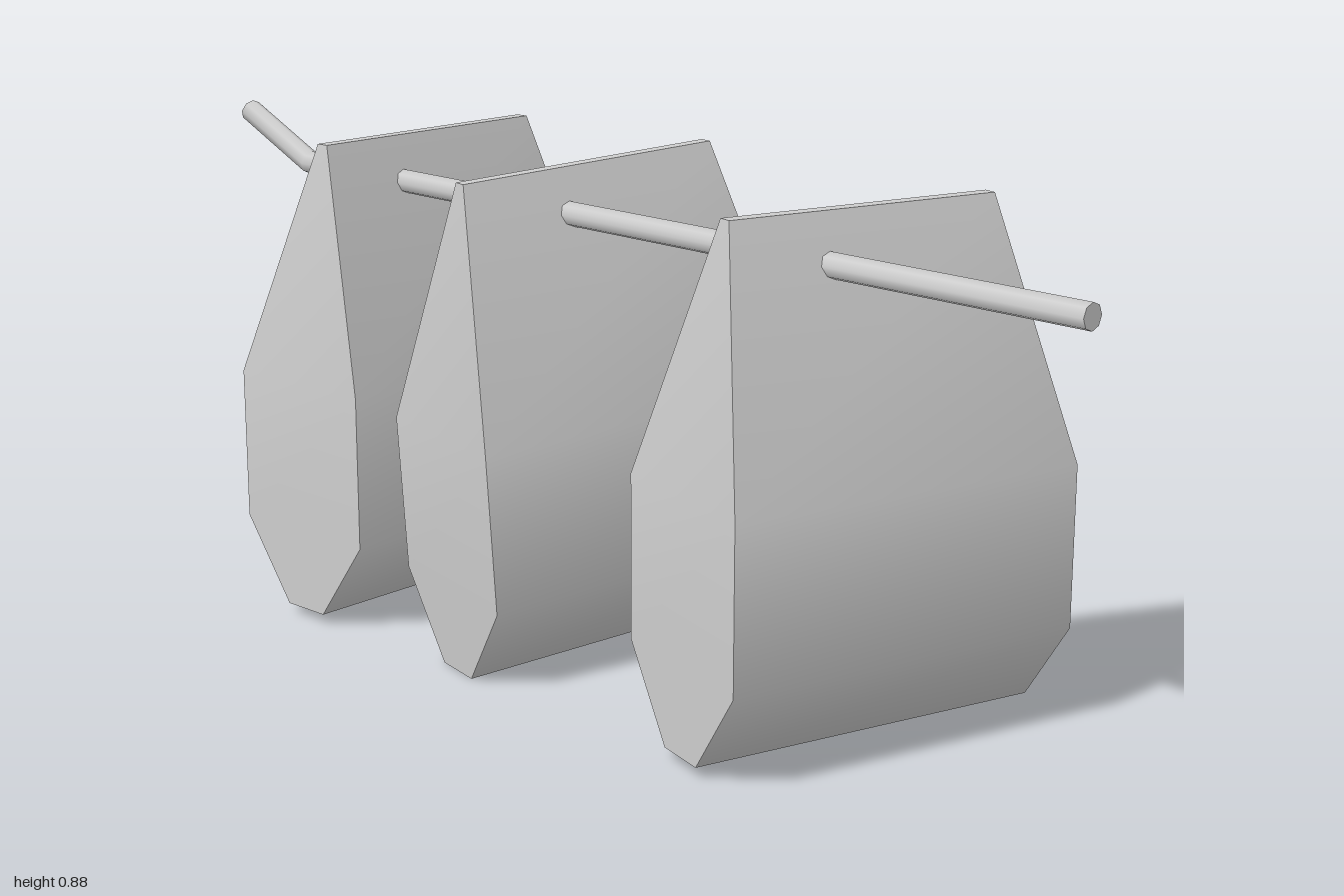
import * as THREE from 'three';
import { toCreasedNormals } from 'three/addons/utils/BufferGeometryUtils.js';

const CREASE = 1.2;
const MID = 0.44; // height about which a bag hangs and tilts

// Bag rows from bottom to top: height, half width, half depth
const BAG_ROWS = [
  [0.02, 0.047, 0.318],
  [0.167, 0.154, 0.318],
  [0.44, 0.154, 0.318],
  [0.86, 0.012, 0.245],
];

// Rod stations: x, y, and the direction across the rod (mitred at the bend)
const ROD_STATIONS = [
  [-0.987, 0.859, 0.39, 0.92],
  [-0.8, 0.78, 0.2, 1],
  [1, 0.78, 0, 1],
];

// A box whose rows are reshaped into a pinched bag
function bagGeometry() {
  const g = new THREE.BoxGeometry(2, 1, 2, 1, 3, 1);
  const p = g.attributes.position;
  for (let i = 0; i < p.count; i++) {
    const [y, w, d] = BAG_ROWS[Math.round((p.getY(i) + 0.5) * 3)];
    p.setXYZ(i, Math.sign(p.getX(i)) * w, y - MID, Math.sign(p.getZ(i)) * d);
  }
  return toCreasedNormals(g, CREASE);
}

// A cylinder laid along the bent path
function rodGeometry(radius, z) {
  const g = new THREE.CylinderGeometry(radius, radius, 1, 8, 2);
  const p = g.attributes.position;
  for (let i = 0; i < p.count; i++) {
    const [x, y, nx, ny] = ROD_STATIONS[Math.round((p.getY(i) + 0.5) * 2)];
    const a = -p.getX(i);
    p.setXYZ(i, x + a * nx, y + a * ny, z + p.getZ(i));
  }
  return toCreasedNormals(g, CREASE);
}

export function createModel() {
  const group = new THREE.Group();
  group.name = 'hangingBags';
  const grey = new THREE.MeshStandardMaterial({ color: 0xcccccc });
  grey.name = 'light grey';

  // Rod with its upturned end
  const rod = new THREE.Mesh(rodGeometry(0.021, 0.083), grey);
  rod.name = 'rod';
  group.add(rod);

  // Three bags: x, yaw, pitch
  const geometry = bagGeometry();
  [
    ['rightBag', -0.557, 0.063, 0],
    ['middleBag', -0.091, -0.18, 0.062],
    ['leftBag', 0.5, -0.24, 0],
  ].forEach(([name, x, yaw, pitch]) => {
    const bag = new THREE.Mesh(geometry, grey);
    bag.name = name;
    bag.position.set(x, MID, 0);
    bag.rotation.set(pitch, yaw, 0, 'YXZ');
    group.add(bag);
  });
  return group;
}
